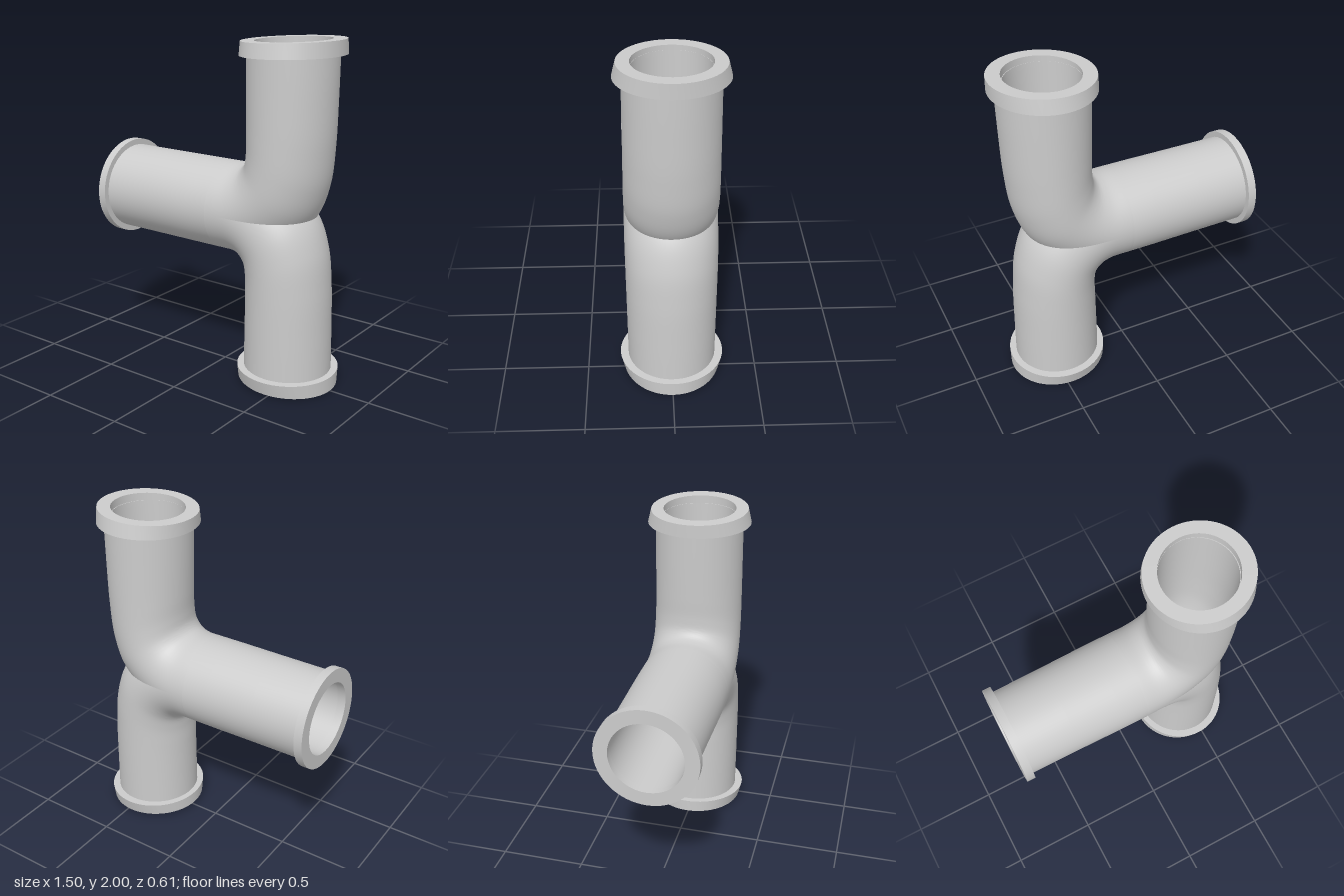
import * as THREE from 'three';
import { mergeVertices, toCreasedNormals } from 'three/addons/utils/BufferGeometryUtils.js';

const SIDES = 64;
const BORE = 0.82;
const material = new THREE.MeshStandardMaterial({ color: 0xcccccc, side: THREE.DoubleSide });

// A ring is an ellipse spanning edge points a and b in the xy plane, with half-width w in z.
const ring = (ax, ay, bx, by, w) => ({ ax, ay, bx, by, w });

function shrink(r, k, w = r.w * k) {
  const cx = (r.ax + r.bx) / 2, cy = (r.ay + r.by) / 2;
  const ux = (r.bx - r.ax) / 2 * k, uy = (r.by - r.ay) / 2 * k;
  return ring(cx - ux, cy - uy, cx + ux, cy + uy, w);
}

// Skin a run of rings; closed joins the last ring to the first.
function loft(name, rings, closed = false) {
  const pos = [], index = [];
  for (const r of rings) {
    for (let j = 0; j < SIDES; j++) {
      const t = j / SIDES * Math.PI * 2, c = Math.cos(t);
      pos.push((r.ax + r.bx) / 2 + (r.bx - r.ax) / 2 * c,
        (r.ay + r.by) / 2 + (r.by - r.ay) / 2 * c, r.w * Math.sin(t));
    }
  }
  const spans = closed ? rings.length : rings.length - 1;
  for (let i = 0; i < spans; i++) {
    const p = i * SIDES, q = ((i + 1) % rings.length) * SIDES;
    for (let j = 0; j < SIDES; j++) {
      const k = (j + 1) % SIDES;
      index.push(p + j, q + j, q + k, p + j, q + k, p + k);
    }
  }
  let geo = new THREE.BufferGeometry();
  geo.setAttribute('position', new THREE.Float32BufferAttribute(pos, 3));
  geo.setIndex(index);
  geo = mergeVertices(toCreasedNormals(geo, 0.6));
  const mesh = new THREE.Mesh(geo, material);
  mesh.name = name;
  return mesh;
}

const curve = pts => new THREE.CatmullRomCurve3(pts.map(p => new THREE.Vector3(p[0], p[1], 0)));

// Elbow: short inside corner paired with a long sweeping outside edge.
function bendRings() {
  const inside = curve([[0.05, 0.26], [0.14, 0.262], [0.18, 0.275], [0.205, 0.31],
    [0.213, 0.38], [0.21, 0.5], [0.205, 0.7], [0.2, 0.95]]);
  const outside = curve([[0.05, -0.26], [0.25, -0.245], [0.45, -0.15], [0.6, 0],
    [0.67, 0.18], [0.697, 0.4], [0.707, 0.68], [0.712, 0.95]]);
  const rings = [];
  for (let i = 0; i <= 56; i++) {
    const t = i / 56, a = inside.getPoint(t), b = outside.getPoint(t);
    rings.push(ring(a.x, a.y, b.x, b.y, 0.272 - 0.014 * t));
  }
  return rings;
}

function makeBranch(name) {
  const branch = new THREE.Group();
  branch.name = name;
  const outer = bendRings();
  const bore = outer.map(r => shrink(r, BORE)).reverse();
  branch.add(loft('elbowPipe', [...outer, ...bore]));

  // Slightly tilted end collar
  const low = ring(0.165, 0.9, 0.75, 0.915, 0.305);
  const high = ring(0.165, 0.975, 0.75, 1, 0.285);
  branch.add(loft('endCollar', [low, high, shrink(high, 0.727, 0.213), shrink(low, 0.727, 0.213)], true));
  return branch;
}

export function createModel() {
  const model = new THREE.Group();
  model.name = 'pipeTee';
  const body = new THREE.Group();
  body.name = 'pipeBody';
  body.position.y = 1;
  model.add(body);

  // Side arm with its bore
  const arm = [[-0.74, 0.262], [-0.4, 0.266], [-0.1, 0.272], [0.05, 0.272]]
    .map(([x, w]) => ring(x, 0.26, x, -0.26, w));
  const armBore = arm.map(r => shrink(r, BORE)).reverse();
  body.add(loft('sideArm', [...armBore, ...arm]));

  // Side arm collar
  const back = ring(-0.75, 0.295, -0.75, -0.295, 0.295);
  const front = ring(-0.7, 0.295, -0.7, -0.295, 0.295);
  body.add(loft('sideCollar', [back, front, shrink(front, 0.722), shrink(back, 0.722)], true));

  // Two overlapping elbows, one turned upside down
  const upper = makeBranch('upperBranch');
  const lower = makeBranch('lowerBranch');
  lower.rotation.x = Math.PI;
  body.add(upper, lower);
  return model;
}
